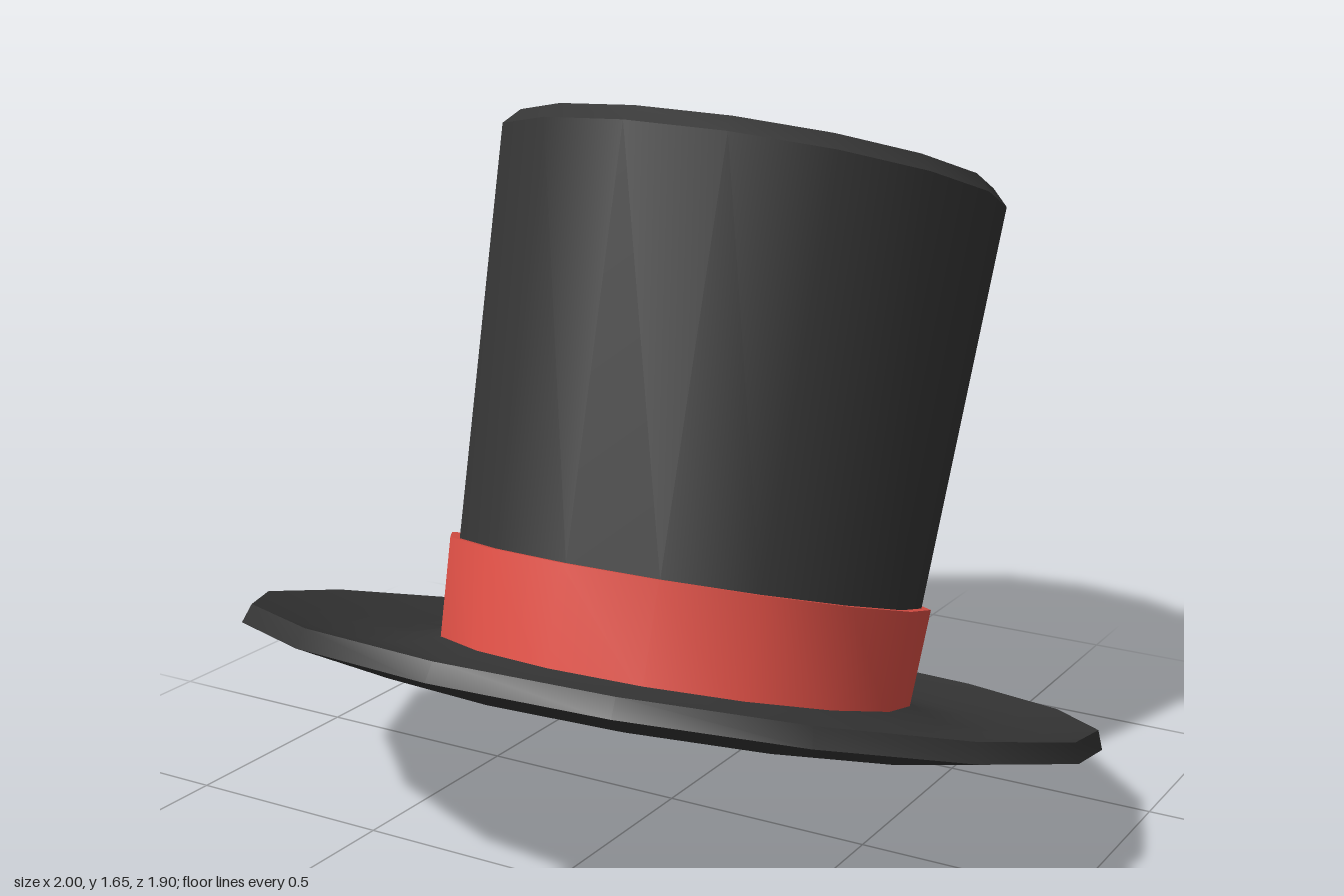
import * as THREE from 'three';
import { toCreasedNormals } from 'three/addons/utils/BufferGeometryUtils.js';

const SIDES = 16;

export function createModel() {
  const felt = new THREE.MeshStandardMaterial({ color: 0x363636, side: THREE.DoubleSide });
  felt.name = 'charcoalFelt';
  const ribbon = new THREE.MeshStandardMaterial({ color: 0xe25147, side: THREE.DoubleSide });
  ribbon.name = 'redRibbon';

  // Turned part from [radius, height] pairs, smooth around and sharp at the rims
  function turned(name, profile, material) {
    const points = profile.map(([r, y]) => new THREE.Vector2(r, y));
    const mesh = new THREE.Mesh(toCreasedNormals(new THREE.LatheGeometry(points, SIDES), 0.6), material);
    mesh.name = name;
    return mesh;
  }

  const hat = new THREE.Group();
  hat.name = 'topHat';

  // Dished brim with a thick, slightly sloped edge and an open centre
  hat.add(turned('brim', [
    [0.53, 0.0], [0.64, -0.035], [0.765, -0.049], [1.0, 0.0],
    [0.985, 0.043], [0.87, 0.018], [0.75, 0.0], [0.64, 0.0], [0.54, 0.03], [0.53, 0.0],
  ], felt));

  // Crown flaring upwards to a small bevel and flat top
  hat.add(turned('crown', [
    [0.535, 0.02], [0.546, 0.25], [0.596, 1.194], [0.56, 1.232], [0, 1.232],
  ], felt));

  // Ribbon band outside the crown, with a top ledge
  hat.add(turned('band', [[0.553, 0.0], [0.568, 0.252], [0.545, 0.252]], ribbon));

  // Lining inside the opening
  hat.add(turned('lining', [[0.53, 0.0], [0.518, 0.003], [0.53, 0.23], [0.545, 0.23]], ribbon));

  // Tip the hat backwards
  hat.rotation.x = -THREE.MathUtils.degToRad(17.8);
  hat.position.y = 0.314;

  const model = new THREE.Group();
  model.name = 'model';
  model.add(hat);
  return model;
}
